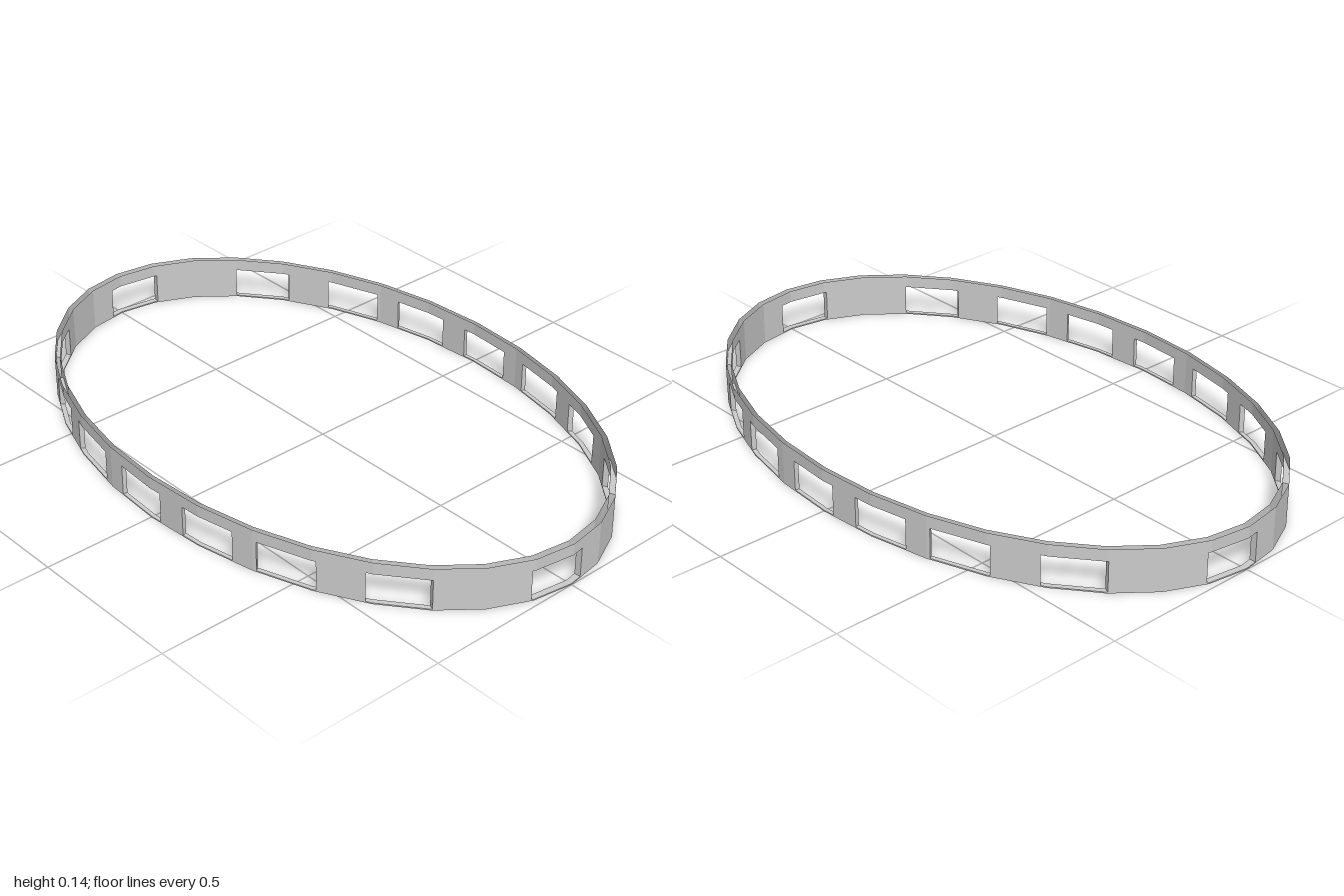
import * as THREE from 'three';

const SIDES = 32, STEP = 360 / SIDES;
const RX = 1, RZ = 0.645, INNER = 0.98;
const TOP = 0.135, SILL = 0.004, LINTEL = 0.098;

// start and end angle of each opening on one half; the other half repeats it turned by 180 degrees
const HALF = [[-3.6, 11.9], [33.6, 46.3], [55.5, 66.8], [71.7, 82.4],
  [87.7, 98.1], [103.4, 114.5], [119.3, 131], [139.4, 152.6]];
const WINDOWS = [...HALF, ...HALF.map(([a, b]) => [a + 180, b + 180])];

// point on the faceted oval at an angle, scaled inward by s
function point(deg, s, y) {
  const i = Math.floor(deg / STEP), t = deg / STEP - i;
  const at = k => {
    const a = THREE.MathUtils.degToRad(k * STEP);
    return new THREE.Vector3(RX * s * Math.cos(a), y, RZ * s * Math.sin(a));
  };
  return at(i).lerp(at(i + 1), t);
}

// facet corners and opening edges between two angles
function stops(from, to, extra = []) {
  const list = [from, to, ...extra];
  for (let k = Math.ceil(from / STEP); k * STEP < to; k++) list.push(k * STEP);
  return [...new Set(list)].sort((a, b) => a - b);
}

function meshFromQuads(name, quads, material) {
  const pos = [];
  for (const [a, b, c, d] of quads)
    for (const p of [a, b, c, a, c, d]) pos.push(p.x, p.y, p.z);
  const geo = new THREE.BufferGeometry();
  geo.setAttribute('position', new THREE.Float32BufferAttribute(pos, 3));
  geo.computeVertexNormals();
  const mesh = new THREE.Mesh(geo, material);
  mesh.name = name;
  return mesh;
}

// one thin wall with the openings left out
function wall(scale, inward) {
  const quads = [];
  const start = WINDOWS[0][0];
  const angles = stops(start, start + 360, WINDOWS.flat());
  for (let i = 0; i < angles.length - 1; i++) {
    const a = angles[i], b = angles[i + 1], mid = (a + b) / 2;
    const open = WINDOWS.some(([w0, w1]) => mid > w0 && mid < w1);
    const bands = open ? [[0, SILL], [LINTEL, TOP]] : [[0, TOP]];
    for (const [y0, y1] of bands) {
      const q = [point(b, scale, y0), point(a, scale, y0), point(a, scale, y1), point(b, scale, y1)];
      quads.push(inward ? q.reverse() : q);
    }
  }
  return quads;
}

// sill, lintel and two jambs of one opening
function reveal([w0, w1]) {
  const quads = [];
  const angles = stops(w0, w1);
  const level = (a, b, y) => [point(b, 1, y), point(a, 1, y), point(a, INNER, y), point(b, INNER, y)];
  for (let i = 0; i < angles.length - 1; i++) {
    quads.push(level(angles[i], angles[i + 1], SILL));
    quads.push(level(angles[i], angles[i + 1], LINTEL).reverse());
  }
  const jamb = a => [point(a, INNER, SILL), point(a, 1, SILL), point(a, 1, LINTEL), point(a, INNER, LINTEL)];
  quads.push(jamb(w0), jamb(w1).reverse());
  return quads;
}

export function createModel() {
  const material = new THREE.MeshStandardMaterial({ color: 0xcccccc, flatShading: true, side: THREE.DoubleSide });
  const group = new THREE.Group();
  group.name = 'ovalArcadeRing';
  // hollow band, open along its top and bottom rims
  group.add(meshFromQuads('outerWall', wall(1, false), material));
  group.add(meshFromQuads('innerWall', wall(INNER, true), material));
  WINDOWS.forEach((w, i) => group.add(meshFromQuads(`windowReveal${i + 1}`, reveal(w), material)));
  return group;
}
